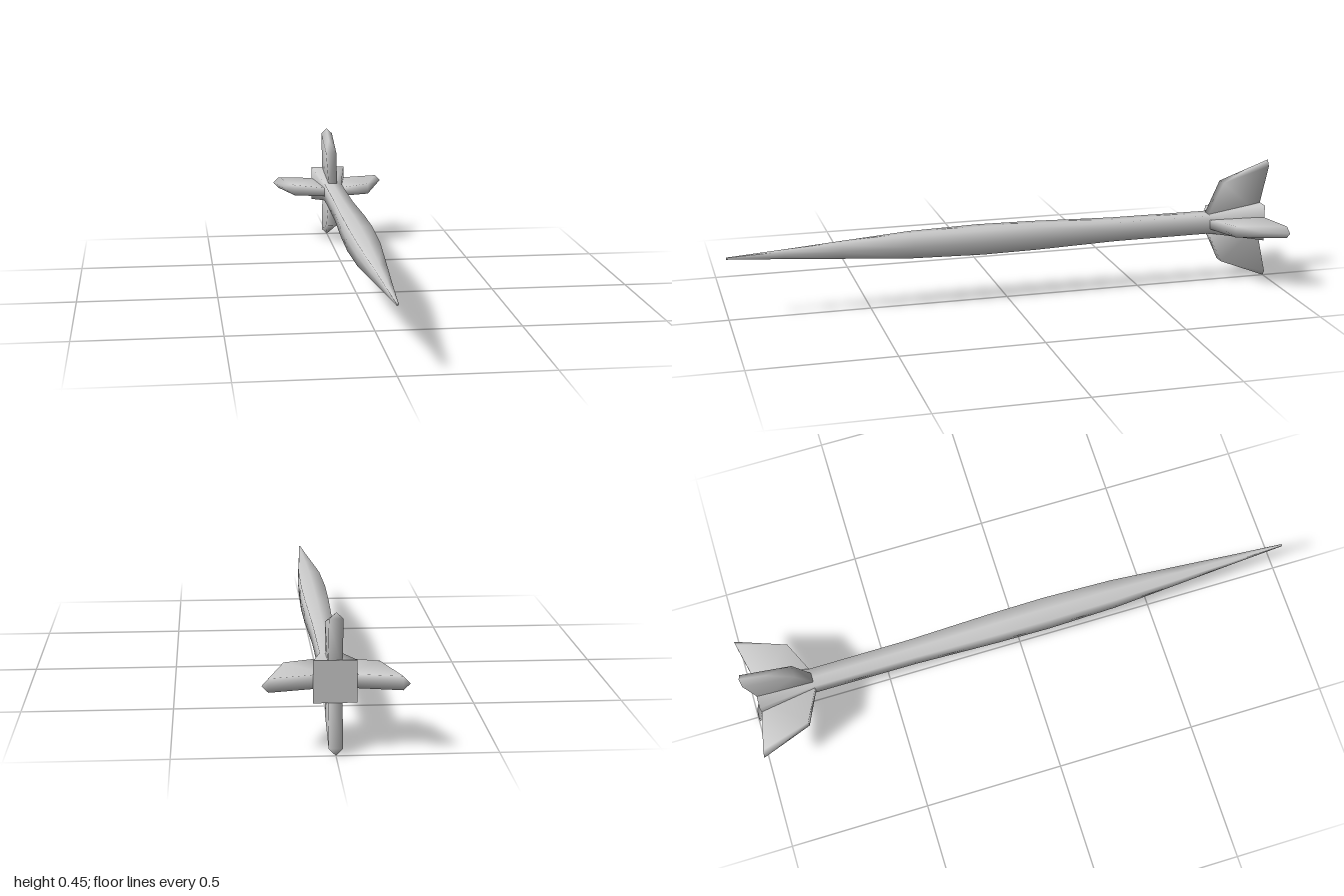
import * as THREE from 'three';
import { mergeVertices } from 'three/addons/utils/BufferGeometryUtils.js';
import { ConvexGeometry } from 'three/addons/geometries/ConvexGeometry.js';

const AXIS_Y = 0.224;
const material = new THREE.MeshStandardMaterial({ color: 0xcccccc });

// Stations along the shaft: [z, half width at the side middles, half width at the corners]
const STATIONS = [
  [1.0, 0.003, 0.003], [0.8, 0.014, 0.0135], [0.6, 0.027, 0.025], [0.35, 0.042, 0.039],
  [0.1, 0.047, 0.044], [-0.1, 0.045, 0.042], [-0.4, 0.036, 0.035], [-0.765, 0.034, 0.034],
  [-0.967, 0.067, 0.067],
];

// Eight points of a slightly bulged square
function section([z, mid, corner]) {
  return [[1, 0], [1, 1], [0, 1], [-1, 1], [-1, 0], [-1, -1], [0, -1], [1, -1]].map(([x, y]) => {
    const s = x && y ? corner : mid;
    return [x * s, y * s, z];
  });
}

function shaftGeometry() {
  const positions = [], index = [];
  for (const station of STATIONS) positions.push(...section(station).flat());
  for (let i = 0; i < STATIONS.length - 1; i++) {
    for (let j = 0; j < 8; j++) {
      const a = i * 8 + j, b = i * 8 + (j + 1) % 8;
      index.push(a, a + 8, b, b, a + 8, b + 8);
    }
  }
  // Nose and tail caps, with their own vertices so the rims stay sharp
  for (const [station, front] of [[STATIONS[0], true], [STATIONS.at(-1), false]]) {
    const base = positions.length / 3;
    positions.push(...section(station).flat());
    for (let j = 1; j < 7; j++) {
      index.push(base, base + (front ? j : j + 1), base + (front ? j + 1 : j));
    }
  }
  const geometry = new THREE.BufferGeometry();
  geometry.setAttribute('position', new THREE.Float32BufferAttribute(positions, 3));
  geometry.setIndex(index);
  geometry.computeVertexNormals();
  return geometry;
}

// Swept thick fin pointing up, with a ridged tip
function finGeometry() {
  const points = [new THREE.Vector3(0, 0.19, -0.915), new THREE.Vector3(0, 0.224, -1)];
  for (const side of [-1, 1]) {
    points.push(
      new THREE.Vector3(side * 0.017, 0.028, -0.763),
      new THREE.Vector3(side * 0.021, 0.15, -0.82),
      new THREE.Vector3(side * 0.022, 0.203, -0.996),
      new THREE.Vector3(side * 0.022, 0.028, -0.957),
    );
  }
  const hull = new ConvexGeometry(points);
  hull.deleteAttribute('normal');
  const geometry = mergeVertices(hull, 1e-5);
  geometry.computeVertexNormals();
  return geometry;
}

export function createModel() {
  const model = new THREE.Group();
  model.name = 'dart';

  const shaft = new THREE.Mesh(shaftGeometry(), material);
  shaft.name = 'shaft';
  shaft.position.y = AXIS_Y;
  model.add(shaft);

  // Four fins around the tail
  const fin = finGeometry();
  ['topFin', 'leftFin', 'bottomFin', 'rightFin'].forEach((name, i) => {
    const mesh = new THREE.Mesh(fin, material);
    mesh.name = name;
    mesh.position.y = AXIS_Y;
    mesh.rotation.z = -i * Math.PI / 2;
    model.add(mesh);
  });
  return model;
}
